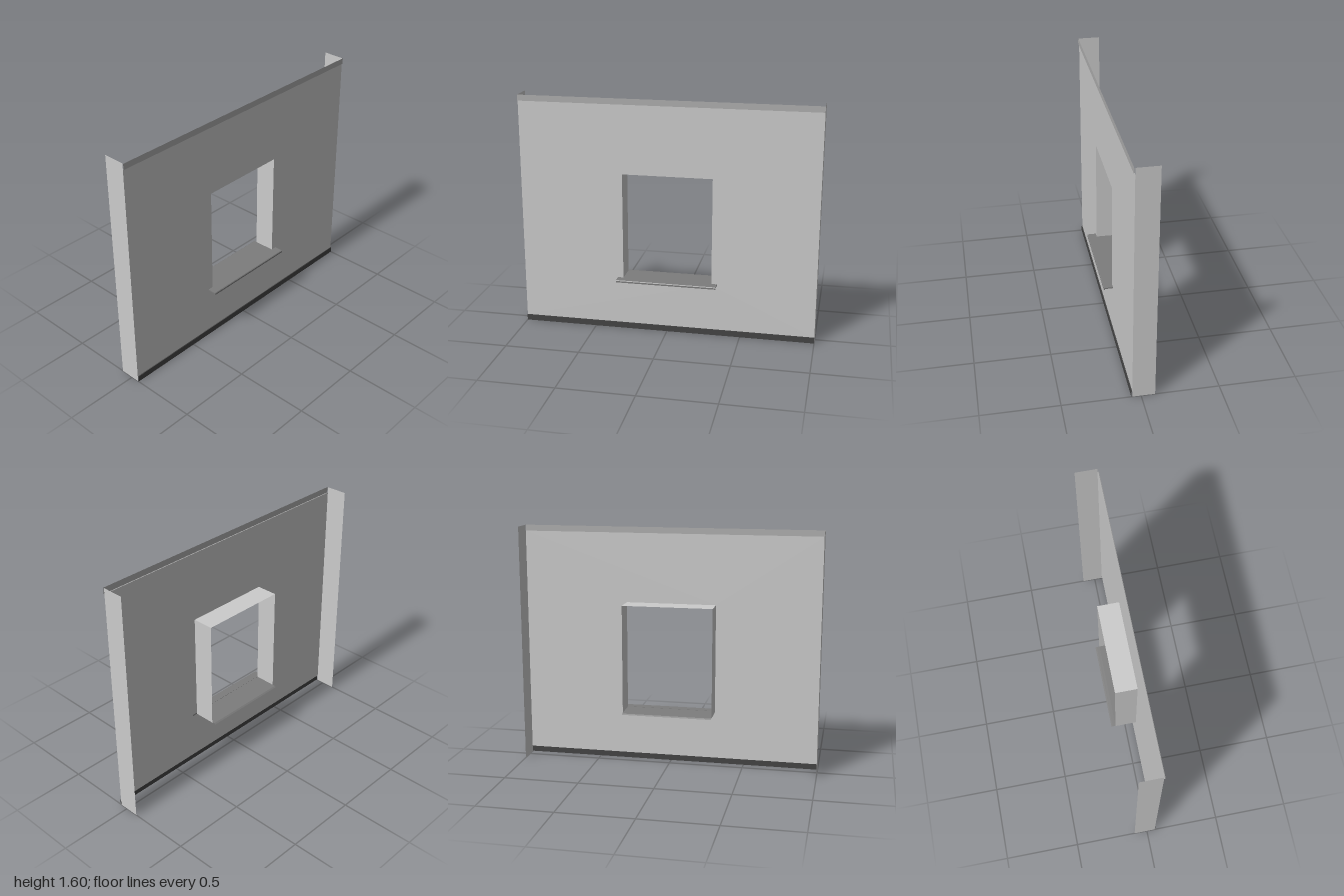
import * as THREE from 'three';

const W = 1, H = 1.6, TRIM = 0.04;            // wall half width, height, trim height
const FRONT = 0.056, BACK = -0.089;           // wall face and rear edge of the returns
const OX = 0.302, OY0 = 0.36, OY1 = 1.095;    // window opening

const mat = (color) => new THREE.MeshStandardMaterial({ color, side: THREE.DoubleSide, flatShading: true });

export function createModel() {
  const model = new THREE.Group();
  const grey = mat(0xcccccc), topTone = mat(0xadadad), baseTone = mat(0x444444), sillTone = mat(0x7d7d7d);

  const add = (name, geometry, material) => {
    const mesh = new THREE.Mesh(geometry, material);
    mesh.name = name;
    model.add(mesh);
    return mesh;
  };

  // Thin sheet: a polyline of [z, y] points swept across x from -half to +half
  const sheet = (name, points, half, material) => {
    const pos = [], index = [];
    points.forEach(([z, y], i) => {
      pos.push(-half, y, z, half, y, z);
      if (i) {
        const a = 2 * i - 2;
        index.push(a, a + 1, a + 2, a + 1, a + 3, a + 2);
      }
    });
    const g = new THREE.BufferGeometry();
    g.setAttribute('position', new THREE.Float32BufferAttribute(pos, 3));
    g.setIndex(index);
    g.computeVertexNormals();
    return add(name, g, material);
  };

  // Upright sheet in the yz plane, facing outward
  const sidePanel = (name, x, y0, y1) => {
    const g = new THREE.PlaneGeometry(FRONT - BACK, y1 - y0);
    g.rotateY(Math.sign(x) * Math.PI / 2);
    g.translate(x, (y0 + y1) / 2, (FRONT + BACK) / 2);
    add(name, g, grey);
  };

  // Wall face with the window opening
  const face = new THREE.Shape();
  face.moveTo(-W, TRIM).lineTo(W, TRIM).lineTo(W, H - TRIM).lineTo(-W, H - TRIM).closePath();
  const hole = new THREE.Path();
  hole.moveTo(-OX, OY0).lineTo(-OX, OY1).lineTo(OX, OY1).lineTo(OX, OY0).closePath();
  face.holes.push(hole);
  add('wallFace', new THREE.ShapeGeometry(face).translate(0, 0, FRONT), grey);

  // Trim strips standing slightly proud of the wall
  const proud = FRONT + 0.006;
  sheet('topTrim', [[FRONT, H - TRIM], [proud, H - TRIM], [proud, H]], W, topTone);
  sheet('baseTrim', [[proud, 0], [proud, TRIM], [FRONT, TRIM]], W, baseTone);

  // Wall end returns and window reveal
  for (const [s, side] of [[1, 'left'], [-1, 'right']]) {
    sidePanel(side + 'Return', s * W, 0, H);
    sidePanel(side + 'Reveal', s * OX, OY0, OY1);
  }
  sheet('revealHead', [[FRONT, OY1], [BACK, OY1]], OX, grey);
  sheet('revealBase', [[FRONT, OY0], [BACK, OY0]], OX, grey);

  // Sill: plate through the opening with a drooping rear edge
  sheet('sillPlate', [[FRONT, 0.368], [BACK, 0.366], [-0.108, 0.365], [-0.117, 0.358]], OX, sillTone);

  // Sill nose: wider projection with a rounded, turned-down lip
  const nose = new THREE.Shape();
  nose.moveTo(FRONT, 0.361).lineTo(0.108, 0.361).lineTo(0.109, 0.354).lineTo(0.117, 0.354)
    .lineTo(0.117, 0.364).lineTo(0.113, 0.369).lineTo(FRONT, 0.369).closePath();
  const noseGeo = new THREE.ExtrudeGeometry(nose, { depth: 0.68, bevelEnabled: false });
  noseGeo.rotateY(-Math.PI / 2);               // profile x becomes z, depth runs along -x
  noseGeo.translate(0.34, 0, 0);
  add('sillNose', noseGeo, sillTone);

  return model;
}
